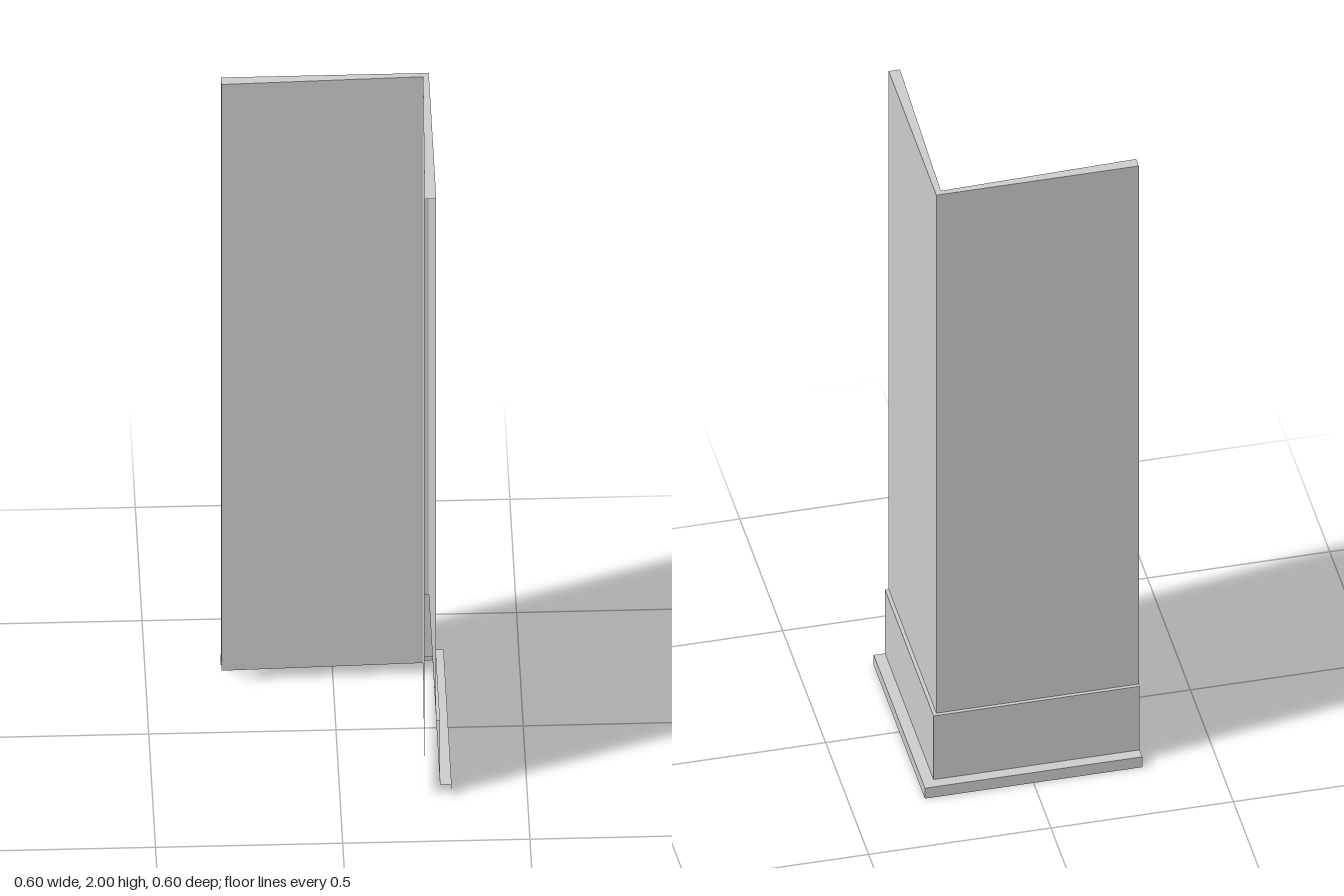
import * as THREE from 'three';

const END = 0.298; // both legs stop here

// Ring of the L-shaped plan at height y: back leg end, corner, front leg end.
// corner = distance of the corner from the centre, tip = distance at the open ends.
function ring(corner, y, tip = corner) {
  return [[-END, y, -tip], [corner, y, -corner], [tip, y, END]];
}

// Flat-shaded strip of quads through successive rings
function strip(name, rings, material) {
  const pos = [];
  for (let r = 0; r < rings.length - 1; r++) {
    for (let c = 0; c < 2; c++) {
      const a = rings[r][c], b = rings[r][c + 1];
      const d = rings[r + 1][c], e = rings[r + 1][c + 1];
      pos.push(...a, ...b, ...d, ...b, ...e, ...d);
    }
  }
  const geometry = new THREE.BufferGeometry();
  geometry.setAttribute('position', new THREE.Float32BufferAttribute(pos, 3));
  geometry.computeVertexNormals();
  const mesh = new THREE.Mesh(geometry, material);
  mesh.name = name;
  return mesh;
}

export function createModel() {
  const group = new THREE.Group();
  group.name = 'cornerWall';
  const material = new THREE.MeshStandardMaterial({
    color: 0xcccccc, flatShading: true, side: THREE.DoubleSide,
  });

  // Profile rings, from the inner foot over the top and down the outside
  const innerFoot = ring(0.241, 0.035, 0.226);
  const innerTop = ring(0.241, 2, 0.226);
  const outerTop = ring(0.257, 2);
  const outerFoot = ring(0.257, 0.25);
  const boardTop = ring(0.267, 0.25);
  const boardFoot = ring(0.267, 0.035);
  const plinthTop = ring(END, 0.035);
  const plinthFoot = ring(END, 0);

  // The shell is open at both leg ends and underneath
  group.add(
    strip('innerWall', [innerFoot, innerTop], material),
    strip('wallTop', [innerTop, outerTop], material),
    strip('outerWall', [outerTop, outerFoot], material),
    strip('baseboard', [outerFoot, boardTop, boardFoot], material),
    strip('plinth', [boardFoot, plinthTop, plinthFoot], material),
  );
  return group;
}
